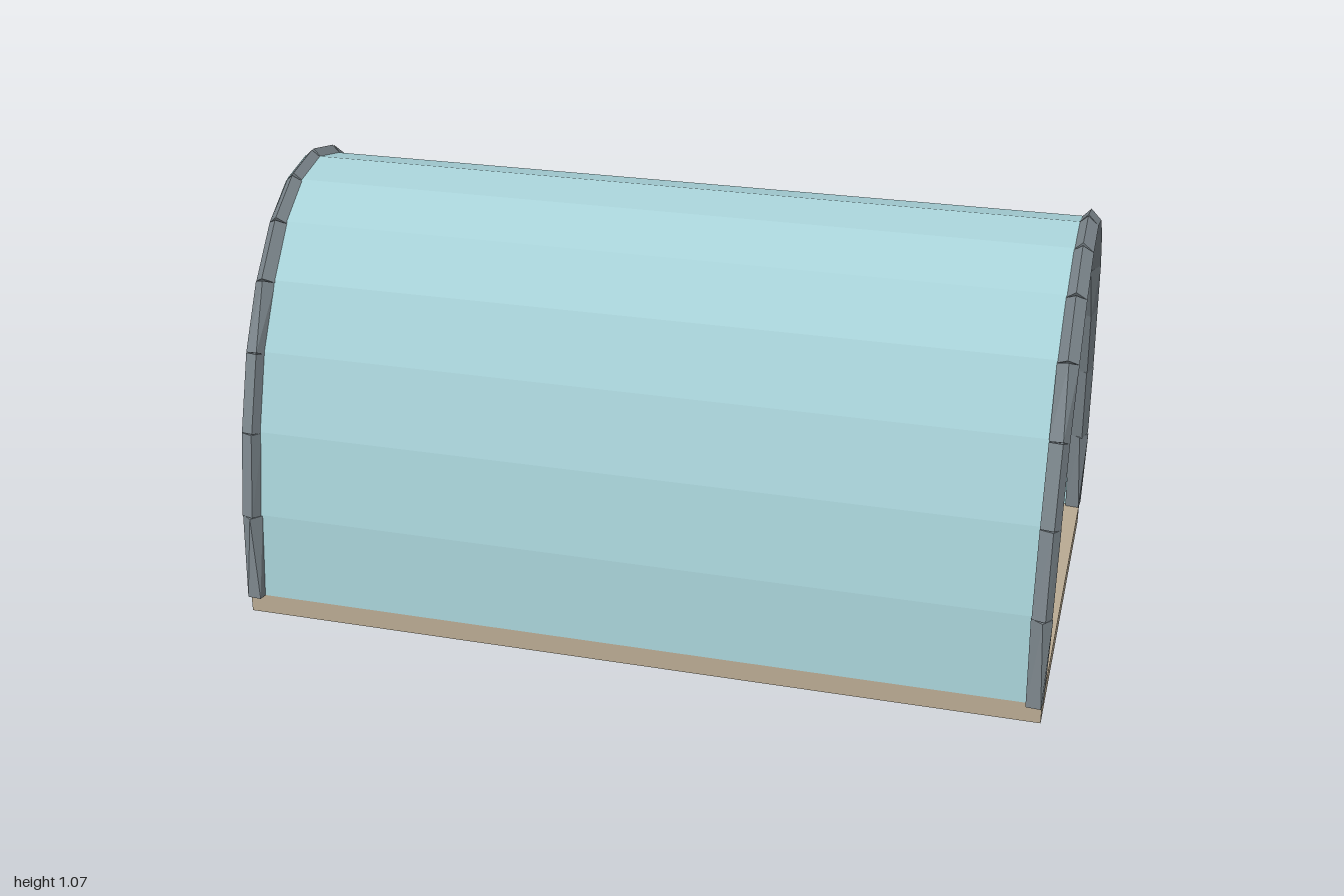
import * as THREE from 'three';

const SEGMENTS = 14, BASE = 0.05, LENGTH = 1.988;

// Point on the half-ellipse arch, u from 0 (front foot) to 1 (back foot)
function archPoint(u) {
  const t = u * Math.PI;
  return new THREE.Vector3(0, BASE + Math.sin(t), 0.51 * Math.cos(t));
}

// Four-sided rib bar between two points, turned about its own axis by a different angle at each end
function ribBar(a, b, turnA, turnB, material) {
  const length = a.distanceTo(b);
  const geo = new THREE.CylinderGeometry(0.025, 0.025, length, 4);
  const pos = geo.attributes.position, v = new THREE.Vector3(), up = new THREE.Vector3(0, 1, 0);
  for (let i = 0; i < pos.count; i++) {
    v.fromBufferAttribute(pos, i);
    v.applyAxisAngle(up, v.y < 0 ? turnA : turnB);
    pos.setXYZ(i, v.x, v.y, v.z);
  }
  geo.computeVertexNormals();
  const mesh = new THREE.Mesh(geo, material);
  mesh.name = 'ribBar';
  mesh.position.addVectors(a, b).multiplyScalar(0.5);
  mesh.rotation.x = Math.atan2(b.z - a.z, b.y - a.y);
  return mesh;
}

export function createModel() {
  const cover = new THREE.MeshStandardMaterial({ color: 0xa6d0d6, flatShading: true, side: THREE.DoubleSide });
  cover.name = 'pale teal cover';
  const metal = new THREE.MeshStandardMaterial({ color: 0x7c868c, flatShading: true });
  metal.name = 'grey metal';
  const wood = new THREE.MeshStandardMaterial({ color: 0xb9aa92, flatShading: true });
  wood.name = 'tan wood';

  const model = new THREE.Group();
  model.name = 'archedShelter';

  // Floor slab
  const floor = new THREE.Mesh(new THREE.BoxGeometry(LENGTH, BASE, 1.02), wood);
  floor.name = 'floor';
  floor.position.set(-0.002, BASE / 2, 0);
  model.add(floor);

  // Thin cover: a flat sheet bent over the arch
  const sheet = new THREE.PlaneGeometry(LENGTH, 1, 1, SEGMENTS);
  const pos = sheet.attributes.position;
  for (let i = 0; i < pos.count; i++) {
    const p = archPoint(pos.getY(i) + 0.5);
    pos.setXYZ(i, pos.getX(i) - 0.002, p.y, p.z);
  }
  sheet.computeVertexNormals();
  const shell = new THREE.Mesh(sheet, cover);
  shell.name = 'cover';
  model.add(shell);

  // End ribs: straight bars, the lower ones slightly twisted
  const turns = [[0.7, 0.15], [0.4, 0.35], [0.4, 0.4], [0.4, 0.1]];
  for (const side of [-1, 1]) {
    const rib = new THREE.Group();
    rib.name = side > 0 ? 'leftRib' : 'rightRib';
    rib.position.set(side * 0.975, 0, 0);
    for (let i = 0; i < SEGMENTS; i++) {
      const front = i < SEGMENTS / 2;
      const [low, high] = turns[front ? i : SEGMENTS - 1 - i] || [0, 0];
      const a = archPoint(i / SEGMENTS), b = archPoint((i + 1) / SEGMENTS);
      // Bars sit just under the cover at the crown and just outside it at the feet
      for (const p of [a, b]) {
        p.y -= 0.007 * (p.y - BASE);
        p.z *= 1.008;
      }
      rib.add(ribBar(a, b, front ? low : -high, front ? high : -low, metal));
    }
    model.add(rib);
  }
  return model;
}
